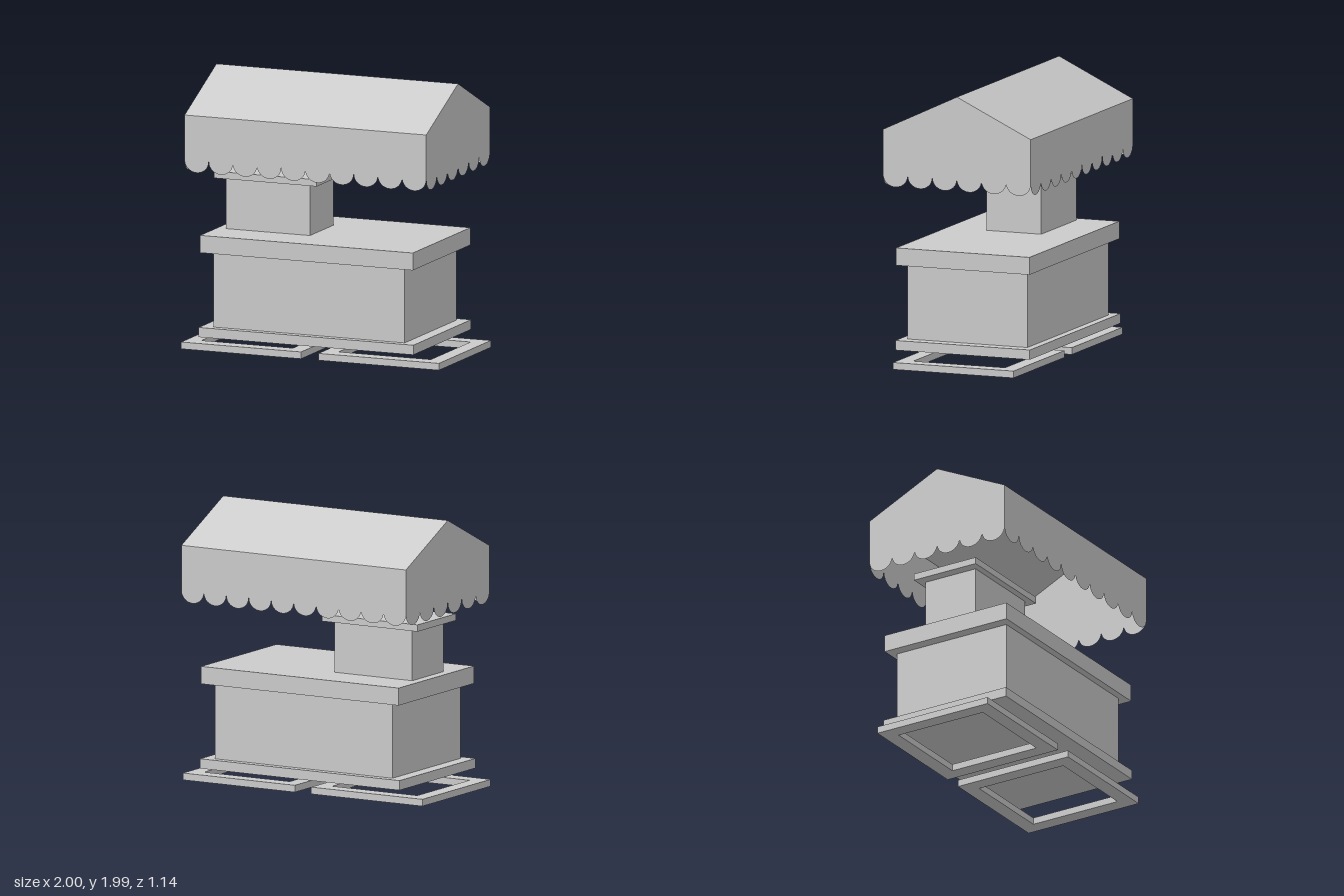
import * as THREE from 'three';

const material = new THREE.MeshStandardMaterial({ color: 0xcccccc, flatShading: true });
const sheet = new THREE.MeshStandardMaterial({ color: 0xcccccc, flatShading: true, side: THREE.DoubleSide });

const EAVE = 1.72, RIDGE = 1.99, CUSP = 1.393, DROP = 0.085;
const X0 = -0.93, X1 = 0.945, Z0 = -0.57, Z1 = 0.57;

// Box given by its extents on each axis
function block(name, [x0, x1], [y0, y1], [z0, z1]) {
  const mesh = new THREE.Mesh(new THREE.BoxGeometry(x1 - x0, y1 - y0, z1 - z0), material);
  mesh.position.set((x0 + x1) / 2, (y0 + y1) / 2, (z0 + z1) / 2);
  mesh.name = name;
  return mesh;
}

// Flat rectangular frame lying on the ground
function groundFrame(name, x0, x1, z0, z1, height, border) {
  const rect = (P, b) => new P([
    new THREE.Vector2(x0 + b, -z1 + b), new THREE.Vector2(x1 - b, -z1 + b),
    new THREE.Vector2(x1 - b, -z0 - b), new THREE.Vector2(x0 + b, -z0 - b),
  ]);
  const shape = rect(THREE.Shape, 0);
  shape.holes.push(rect(THREE.Path, border));
  const geometry = new THREE.ExtrudeGeometry(shape, { depth: height, bevelEnabled: false });
  geometry.rotateX(-Math.PI / 2);
  const mesh = new THREE.Mesh(geometry, material);
  mesh.name = name;
  return mesh;
}

// Hanging cloth panel with a scalloped hem, optionally rising to a gable
function valance(name, a, b, scallops, gable) {
  const shape = new THREE.Shape();
  const r = (b - a) / scallops / 2;
  shape.moveTo(a, EAVE);
  shape.lineTo(a, CUSP);
  for (let i = 0; i < scallops; i++) {
    shape.absellipse(a + r * (2 * i + 1), CUSP, r, DROP, Math.PI, 2 * Math.PI, false, 0);
  }
  shape.lineTo(b, EAVE);
  if (gable) shape.lineTo((a + b) / 2, RIDGE);
  shape.closePath();
  const mesh = new THREE.Mesh(new THREE.ShapeGeometry(shape, 8), sheet);
  mesh.name = name;
  return mesh;
}

// One sloping side of the canopy roof
function roofSlope(name, side) {
  const zMid = (Z0 + Z1) / 2, run = (Z1 - Z0) / 2, rise = RIDGE - EAVE;
  const geometry = new THREE.PlaneGeometry(X1 - X0, Math.hypot(run, rise));
  geometry.rotateX(-Math.PI / 2 + Math.atan2(rise, run));
  if (side < 0) geometry.rotateY(Math.PI);
  const mesh = new THREE.Mesh(geometry, sheet);
  mesh.position.set((X0 + X1) / 2, (EAVE + RIDGE) / 2, zMid + side * run / 2);
  mesh.name = name;
  return mesh;
}

export function createModel() {
  const model = new THREE.Group();
  model.name = 'marketStall';

  // Two frames on the ground
  model.add(
    groundFrame('rightGroundFrame', -1, -0.07, -0.46, 0.47, 0.05, 0.11),
    groundFrame('leftGroundFrame', 0.065, 1, -0.46, 0.47, 0.05, 0.11),
  );

  // Counter: plinth, body and worktop
  const counter = new THREE.Group();
  counter.name = 'counter';
  counter.add(
    block('plinth', [-0.84, 0.825], [0.108, 0.178], [-0.512, 0.525]),
    block('counterBody', [-0.748, 0.735], [0.178, 0.72], [-0.457, 0.47]),
    block('worktop', [-0.83, 0.82], [0.72, 0.846], [-0.507, 0.522]),
  );

  // Small upper cabinet with its lid
  const cabinet = new THREE.Group();
  cabinet.name = 'cabinet';
  cabinet.add(
    block('cabinetBody', [-0.76, -0.11], [0.846, 1.216], [-0.207, 0.217]),
    block('cabinetLid', [-0.835, -0.037], [1.216, 1.265], [-0.257, 0.265]),
  );

  // Open-bottomed canopy: two slopes, four scalloped panels
  const canopy = new THREE.Group();
  canopy.name = 'canopy';
  const front = valance('frontValance', X0, X1, 10, false);
  front.position.z = Z1;
  const back = valance('backValance', -X1, -X0, 10, false);
  back.rotation.y = Math.PI;
  back.position.z = Z0;
  const left = valance('leftGable', -Z1, -Z0, 6, true);
  left.rotation.y = Math.PI / 2;
  left.position.x = X1;
  const right = valance('rightGable', Z0, Z1, 6, true);
  right.rotation.y = -Math.PI / 2;
  right.position.x = X0;
  canopy.add(front, back, left, right, roofSlope('frontRoof', 1), roofSlope('backRoof', -1));

  model.add(counter, cabinet, canopy);
  return model;
}
